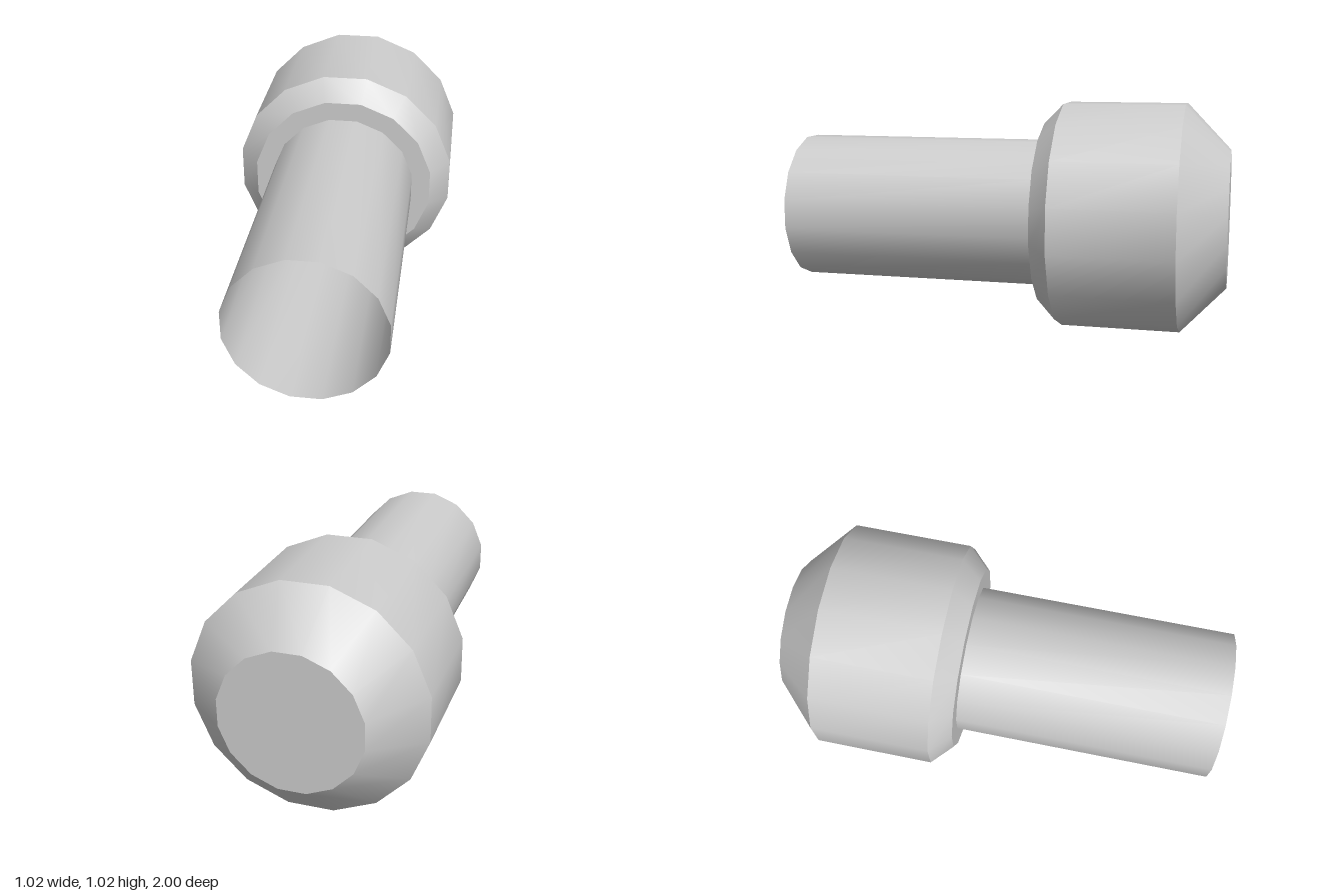
import * as THREE from 'three';
import { toCreasedNormals } from 'three/addons/utils/BufferGeometryUtils.js';

const SIDES = 16;
const HALF = Math.PI / SIDES;
const CENTER_Y = 0.51;

// Radii are measured to the flats; convert to the corner radius
const corner = (flat) => flat / Math.cos(HALF);

export function createModel() {
  const group = new THREE.Group();
  group.name = 'tubeWithCollarHead';
  const material = new THREE.MeshStandardMaterial({ color: 0xcccccc, side: THREE.DoubleSide });

  const add = (name, geometry) => {
    const mesh = new THREE.Mesh(geometry, material);
    mesh.name = name;
    mesh.position.y = CENTER_Y;
    group.add(mesh);
  };

  // Sixteen-sided shell turned about the z axis from [flat radius, z] points
  const turned = (profile) => {
    const points = profile.map(([r, z]) => new THREE.Vector2(corner(r), z));
    const geometry = new THREE.LatheGeometry(points, SIDES, HALF).rotateX(Math.PI / 2);
    return toCreasedNormals(geometry, 0.6);
  };

  // Hollow barrel, open at the front
  add('barrel', turned([[0.333, -0.17], [0.333, 1]]));

  // Head: tapered back, straight wall, front chamfer and flat collar face
  add('head', turned([[0.305, -1], [0.51, -0.8], [0.51, -0.26], [0.42, -0.17], [0.333, -0.17]]));

  // Flat disc closing the back
  add('backCap', new THREE.CircleGeometry(corner(0.305), SIDES, HALF).rotateY(Math.PI).translate(0, 0, -1));

  return group;
}
